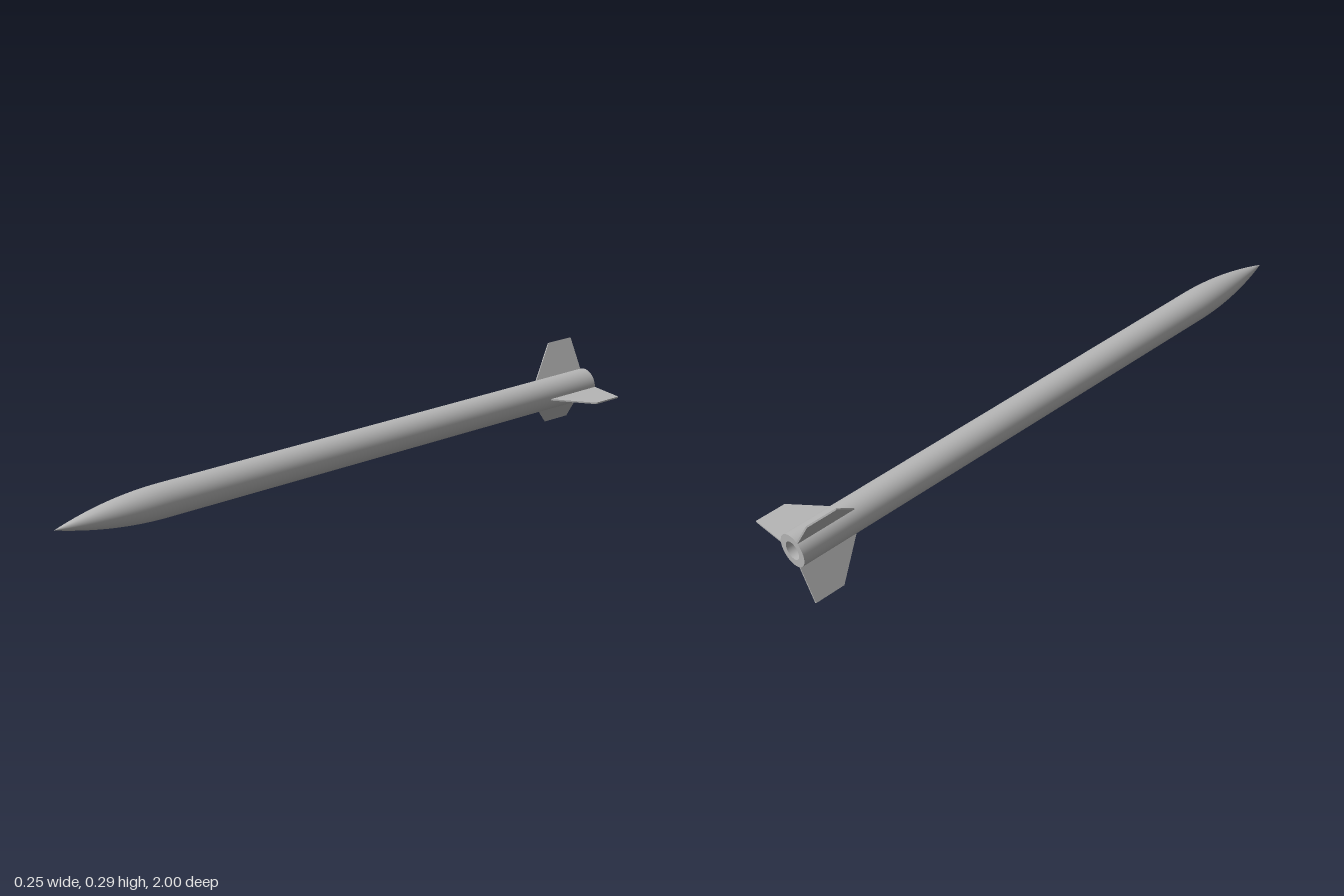
import * as THREE from 'three';

const R = 0.052;          // body radius
const HOLE = 0.029;       // motor tube radius
const FIN_TIP = 0.165;    // fin reach from the axis
const FIN_THICK = 0.005;
const NOSE_BASE = 0.65, NOSE_LENGTH = 0.35;

export function createModel() {
  const grey = new THREE.MeshStandardMaterial({ color: 0xb6b6b6 });
  grey.name = 'plain grey';

  const rocket = new THREE.Group();
  rocket.name = 'rocket';
  rocket.position.set(-0.041, 0.146, 0);

  // Turned part along z from [radius, z] points; outer walls run from back to front
  const turned = (name, points) => {
    const geometry = new THREE.LatheGeometry(points.map(([r, z]) => new THREE.Vector2(r, z)), 64);
    geometry.rotateX(Math.PI / 2);
    const mesh = new THREE.Mesh(geometry, grey);
    mesh.name = name;
    rocket.add(mesh);
  };

  turned('bodyTube', [[R, -1], [R, NOSE_BASE]]);
  turned('tailRing', [[HOLE, -1], [R, -1]]);
  turned('motorTube', [[HOLE, -0.65], [HOLE, -1]]);
  turned('motorTubeEnd', [[0, -0.65], [HOLE, -0.65]]);

  // Curved nose, tangent to the body and pointed at the tip
  const nose = [];
  for (let i = 0; i <= 24; i++) {
    const t = i / 24;
    nose.push([R * (1 - t * t), NOSE_BASE + NOSE_LENGTH * t]);
  }
  turned('noseCone', nose);

  // Three swept fins, spaced evenly around the tail
  const outline = new THREE.Shape([
    [R - 0.004, -1], [FIN_TIP, -1], [FIN_TIP, -0.9], [R, -0.8], [R - 0.004, -0.8],
  ].map(([r, z]) => new THREE.Vector2(r, z)));
  const finGeometry = new THREE.ExtrudeGeometry(outline, { depth: FIN_THICK, bevelEnabled: false });
  finGeometry.translate(0, 0, -FIN_THICK / 2);
  finGeometry.rotateX(Math.PI / 2);
  ['leftFin', 'upperRightFin', 'lowerRightFin'].forEach((name, i) => {
    const fin = new THREE.Mesh(finGeometry, grey);
    fin.name = name;
    fin.rotation.z = (i * 2 * Math.PI) / 3;
    rocket.add(fin);
  });

  const model = new THREE.Group();
  model.name = 'model';
  model.add(rocket);
  return model;
}
